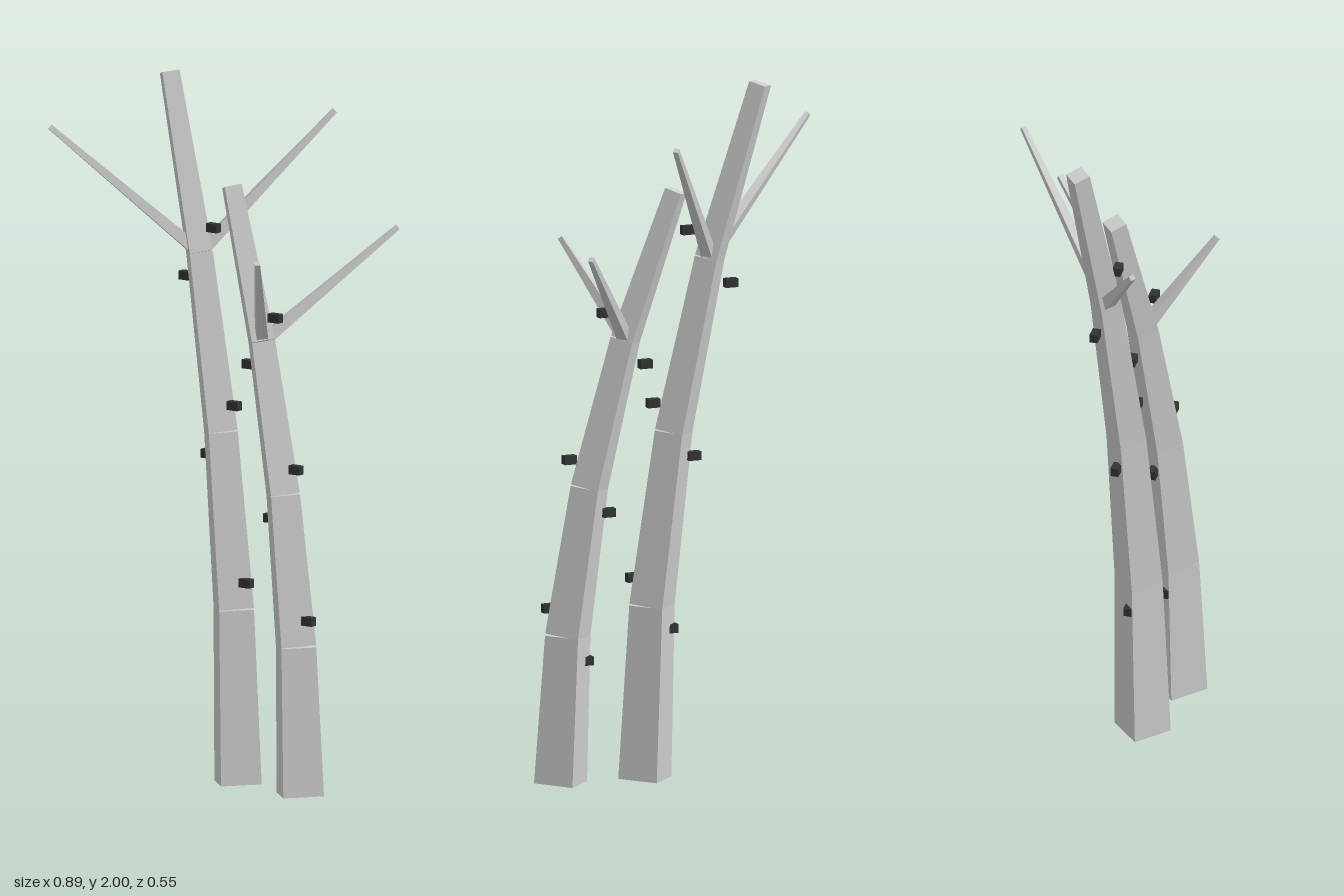
import * as THREE from 'three';

const bark = new THREE.MeshStandardMaterial({ color: 0xcccccc });
bark.name = 'paleBark';
const dark = new THREE.MeshStandardMaterial({ color: 0x333333 });
dark.name = 'darkKnot';

const UP = new THREE.Vector3(0, 1, 0);

// Four-sided tapered limb running from a to b
function limb(name, a, b, r0, r1) {
  const dir = b.clone().sub(a);
  const geo = new THREE.CylinderGeometry(r1, r0, dir.length(), 4).toNonIndexed();
  geo.computeVertexNormals();
  const mesh = new THREE.Mesh(geo, bark);
  mesh.name = name;
  mesh.position.copy(a).add(b).multiplyScalar(0.5);
  mesh.quaternion.setFromUnitVectors(UP, dir.normalize());
  return mesh;
}

// Leaning tree: the trunk bends with the square of the height
function tree(name, x, z, height, branchTips, knotHeights) {
  const group = new THREE.Group();
  group.name = name;
  const at = t => new THREE.Vector3(x - 0.31 * t * t, 0.003 + (height - 0.012) * t, z - 0.102 * t * t);
  const radius = t => 0.082 - 0.047 * t;

  // Trunk segments
  for (let i = 0; i < 4; i++) {
    const t0 = i / 4, t1 = (i + 1) / 4;
    group.add(limb('trunkSegment' + (i + 1), at(t0), at(t1), radius(t0), radius(t1)));
  }

  // Bare branches from the uppermost joint
  branchTips.forEach((tip, i) =>
    group.add(limb('branch' + (i + 1), at(0.75), new THREE.Vector3(...tip), 0.024, 0.01)));

  // Knots alternating between the two sides
  const knotGeo = new THREE.BoxGeometry(0.037, 0.025, 0.023);
  knotHeights.forEach((y, i) => {
    const t = y / height, side = i % 2 ? 1 : -1;
    const knot = new THREE.Mesh(knotGeo, dark);
    knot.name = 'knot' + (i + 1);
    knot.position.copy(at(t));
    knot.position.x += side * (0.05 + 0.036 * t);
    knot.position.y = y;
    knot.position.z += side * (0.012 + 0.014 * t);
    group.add(knot);
  });
  return group;
}

export function createModel() {
  const model = new THREE.Group();
  model.name = 'bareTrees';
  model.add(
    tree('tallTree', 0.12, 0.1, 2.0,
      [[-0.44, 1.84, 0.228], [0.19, 1.88, -0.27]],
      [0.43, 0.58, 0.925, 1.08, 1.42, 1.575]),
    tree('shortTree', 0.363, 0.138, 1.705,
      [[0.435, 1.58, -0.232], [0.305, 1.54, 0.265]],
      [0.35, 0.505, 0.775, 0.93, 1.2, 1.35])
  );
  return model;
}
